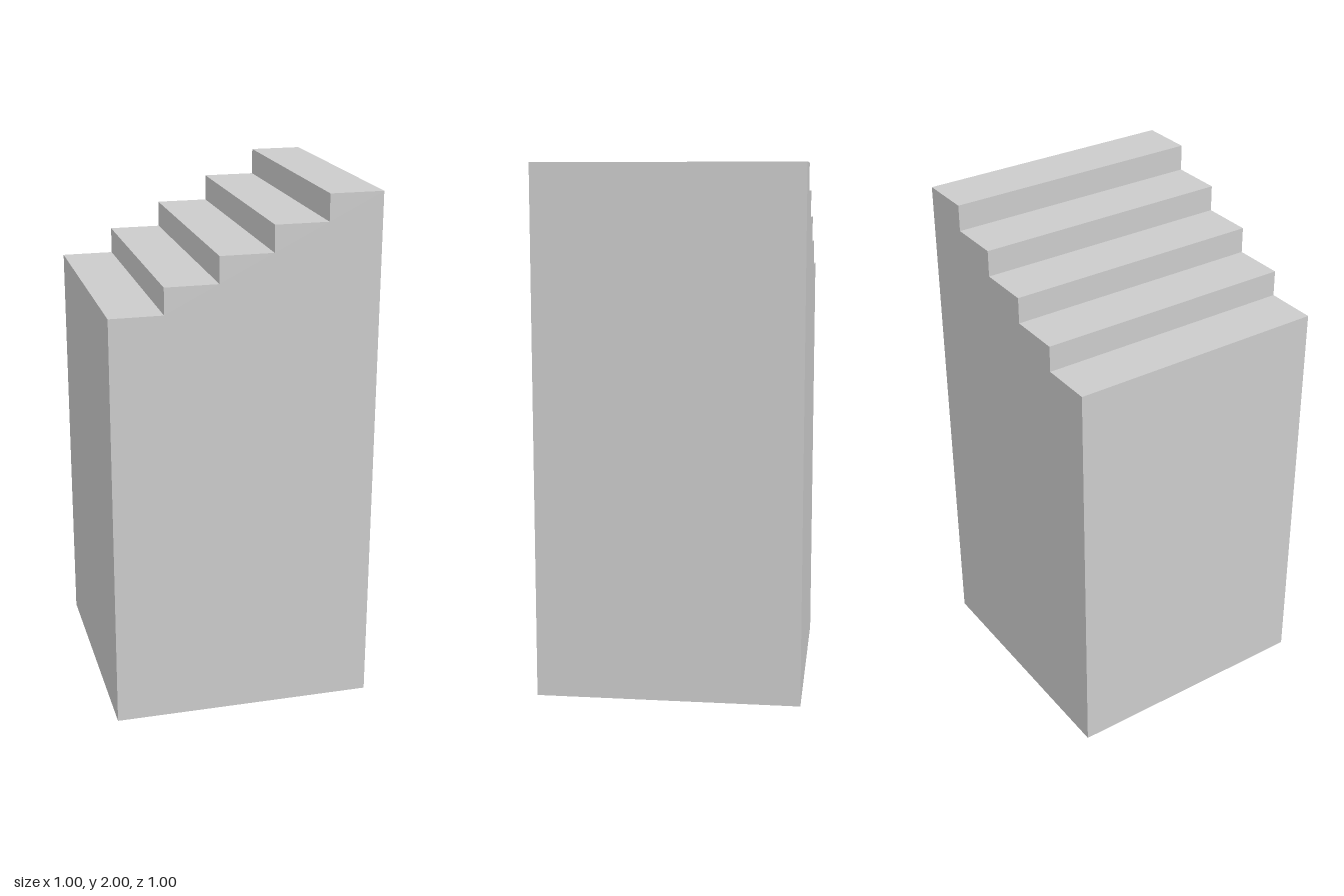
import * as THREE from 'three';

const STEPS = 5, WIDTH = 1, DEPTH = 1, BASE = 1.6, RISE = 0.1;

export function createModel() {
  const group = new THREE.Group();
  group.name = 'steppedBlock';

  // Side profile: flat bottom, steps climbing towards +x
  const run = WIDTH / STEPS;
  const profile = new THREE.Shape();
  profile.moveTo(-WIDTH / 2, 0);
  profile.lineTo(WIDTH / 2, 0);
  for (let i = STEPS - 1; i >= 0; i--) {
    const y = BASE + i * RISE;
    profile.lineTo(-WIDTH / 2 + (i + 1) * run, y);
    profile.lineTo(-WIDTH / 2 + i * run, y);
  }
  profile.closePath();

  // Solid staircase block, centred in depth
  const geometry = new THREE.ExtrudeGeometry(profile, { depth: DEPTH, bevelEnabled: false });
  geometry.translate(0, 0, -DEPTH / 2);
  const stairs = new THREE.Mesh(
    geometry,
    new THREE.MeshStandardMaterial({ color: 0xcccccc, flatShading: true })
  );
  stairs.name = 'stairs';
  group.add(stairs);

  return group;
}
